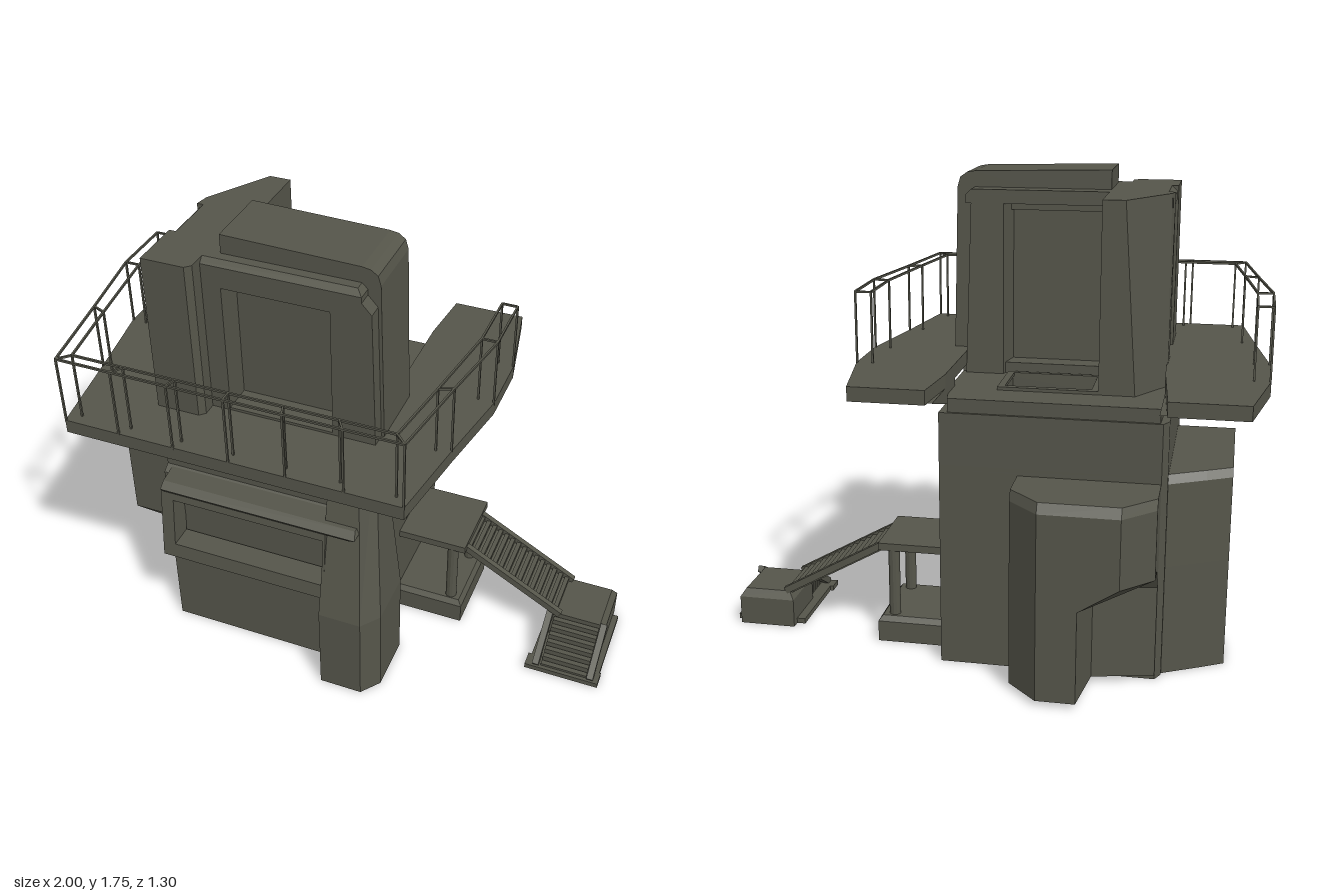
import * as THREE from 'three';

const hull = new THREE.MeshStandardMaterial({ color: 0x55554a });
hull.name = 'olive grey';
hull.flatShading = true;

const V = (x, y, z) => new THREE.Vector3(x, y, z);

export function createModel() {
  const model = new THREE.Group();

  function add(name, geometry, parent = model) {
    const mesh = new THREE.Mesh(geometry, hull);
    mesh.name = name;
    parent.add(mesh);
    return mesh;
  }
  function group(name) {
    const g = new THREE.Group();
    g.name = name;
    model.add(g);
    return g;
  }
  // Box given by its limits on each axis
  function box(name, x0, x1, y0, y1, z0, z1, parent) {
    const g = new THREE.BoxGeometry(x1 - x0, y1 - y0, z1 - z0);
    return add(name, g.translate((x0 + x1) / 2, (y0 + y1) / 2, (z0 + z1) / 2), parent);
  }
  // Square bar between two points
  function bar(name, a, b, w, h, parent) {
    const mesh = add(name, new THREE.BoxGeometry(w, h, a.distanceTo(b)), parent);
    mesh.position.copy(a).lerp(b, 0.5);
    const d = b.clone().sub(a).normalize();
    if (Math.abs(d.y) > 0.99) mesh.rotation.x = Math.PI / 2;
    else mesh.lookAt(b);
    return mesh;
  }
  // Solid through horizontal sections: each level is [y, [[x, z], ...]]
  function loft(name, levels, parent) {
    const flip = THREE.ShapeUtils.area(levels[0][1].map(([x, z]) => new THREE.Vector2(x, -z))) < 0;
    const rings = levels.map(([y, pts]) => {
      const r = pts.map(([x, z]) => V(x, y, z));
      return flip ? r.reverse() : r;
    });
    const p = [], n = rings[0].length;
    const tri = (...c) => c.forEach(v => p.push(v.x, v.y, v.z));
    for (let k = 0; k + 1 < rings.length; k++) {
      const a = rings[k], b = rings[k + 1];
      for (let i = 0; i < n; i++) {
        const j = (i + 1) % n;
        tri(a[i], a[j], b[j]);
        tri(a[i], b[j], b[i]);
      }
    }
    const low = rings[0], top = rings[rings.length - 1];
    const cap = r => THREE.ShapeUtils.triangulateShape(r.map(v => new THREE.Vector2(v.x, -v.z)), []);
    cap(low).forEach(([a, b, c]) => tri(low[a], low[c], low[b]));
    cap(top).forEach(([a, b, c]) => tri(top[a], top[b], top[c]));
    const g = new THREE.BufferGeometry();
    g.setAttribute('position', new THREE.Float32BufferAttribute(p, 3));
    g.computeVertexNormals();
    return add(name, g, parent);
  }
  // Flat outline with an optional hole, extruded along local z
  function extrude(pts, depth, hole) {
    const s = new THREE.Shape(pts.map(([x, y]) => new THREE.Vector2(x, y)));
    if (hole) s.holes.push(new THREE.Path(hole.map(([x, y]) => new THREE.Vector2(x, y))));
    return new THREE.ExtrudeGeometry(s, { depth, bevelEnabled: false });
  }
  const rect = (x0, x1, y0, y1) => [[x0, y0], [x1, y0], [x1, y1], [x0, y1]];
  const mirrorZ = pts => pts.map(([x, z]) => [x, -z]);

  // Lower body with a doorway notch in its upright side wall
  const wall = 0.13;
  const body = (y, front, notch) => {
    const opening = notch ? [[wall, -0.01], [wall - 0.05, -0.01], [wall - 0.05, -0.215], [wall, -0.215]] : [];
    return [y, [[-0.67, front], [wall, front], ...opening, [wall, -0.38], [-0.65, -0.38], [-0.67, -0.34]]];
  };
  loft('bodyBase', [body(0, 0.42), body(0.43, 0.42)]);
  loft('bodyMiddle', [body(0.43, 0.42, true), body(0.74, 0.42, true), body(0.76, 0.39, true), body(0.91, 0.39, true)]);
  loft('bodyTop', [body(0.91, 0.39), body(0.95, 0.39)]);
  const roof = extrude(mirrorZ([[-0.66, 0.38], [0.125, 0.38], [0.125, -0.23], [0.1, -0.37], [-0.64, -0.37]]), 0.05,
    mirrorZ(rect(-0.38, -0.07, -0.2, -0.02)));
  add('bodyRoof', roof.rotateX(-Math.PI / 2).translate(0, 0.95, 0));
  const rim = extrude(rect(-0.41, -0.05, 0, 0.23), 0.012, rect(-0.385, -0.075, 0.02, 0.205));
  add('hatchRim', rim.rotateX(-Math.PI / 2).translate(0, 1, 0));
  box('neck', -0.66, 0.125, 0.9, 1.04, 0.02, 0.39);

  // Side doorway frame with a slanted head
  const door = extrude(rect(0, 0.235, 0.42, 0.96), 0.012,
    [[0.015, 0.45], [0.21, 0.45], [0.2, 0.9], [0.015, 0.74]]).rotateY(Math.PI / 2);
  add('sideDoorFrame', door.translate(wall - 0.002, 0, 0));

  // Front corner buttress
  const fin = (x, z) => [[0, 0.27], [0, z], [x * 0.75, z], [x, z - 0.07], [x, 0.27]];
  loft('buttress', [[0, fin(0.218, 0.55)], [0.36, fin(0.218, 0.55)], [1.04, fin(0.14, 0.4)]]);

  // Window bay, leaning back towards its top, and awning
  const bay = extrude(rect(-0.65, 0.01, 0.42, 0.72), 0.09, rect(-0.6, 0, 0.48, 0.68)).translate(0, 0, 0.4);
  const bp = bay.attributes.position;
  for (let i = 0; i < bp.count; i++) bp.setZ(i, bp.getZ(i) + 0.11 * (0.72 - bp.getY(i)));
  bay.computeVertexNormals();
  add('windowBay', bay);
  loft('awning', [[0.71, [[-0.65, 0.38], [-0.64, 0.49], [0.1, 0.49], [0.1, 0.38]]],
    [0.735, [[-0.65, 0.38], [-0.64, 0.51], [0.13, 0.51], [0.13, 0.38]]],
    [0.755, [[-0.65, 0.38], [-0.64, 0.48], [0.12, 0.48], [0.12, 0.38]]]]);

  // Side block with an undercut front
  const side = (z, back = -0.26) => [[-0.65, z], [-0.89, z], [-0.89, back + 0.05], [-0.8, back], [-0.65, back - 0.08]];
  loft('sideBlock', [[0, side(-0.06)], [0.41, side(0.31)], [0.72, side(0.31)], [0.75, side(0.29, -0.24)]]);

  // Rear block: cut corners above, narrower leg below
  const leg = [[-0.65, -0.36], [-0.65, -0.39], [-0.43, -0.44], [-0.4, -0.65], [-0.26, -0.65], [-0.15, -0.54], [-0.15, -0.36]];
  const rear = d => [[-0.65, -0.36], [-0.65, -0.45], [-0.65, -0.54 + d], [-0.54, -0.65 + d], [-0.26, -0.65 + d], [-0.15, -0.54 + d], [-0.15, -0.36]];
  loft('rearBlock', [[0.02, leg], [0.36, leg], [0.45, rear(0)], [0.7, rear(0)], [0.735, rear(0.02)]]);

  // Upper tower: notched core, roof, window front and corner columns
  const core = [[-0.63, 0.27], [0.13, 0.27], [0.11, 0], [-0.03, 0], [-0.05, 0.1], [-0.38, 0.1], [-0.41, 0], [-0.63, 0]];
  const coreTop = core.map(([x, z]) => [x > 0 ? x - 0.02 : x, z]);
  loft('towerCore', [[1, core], [1.64, coreTop]]);
  const cover = d => [[-0.635 + d, 0.38 - d], [0.11 - d, 0.38 - d], [0.11 - d, 0], [-0.635 + d, 0]];
  loft('towerRoof', [[1.63, cover(0)], [1.66, cover(0)], [1.68, cover(0.02)]]);
  const face = extrude([[-0.63, 1], [0.16, 1], [0.145, 1.6], [0.1, 1.65], [-0.63, 1.65]], 0.11, rect(-0.39, 0, 1.09, 1.58));
  add('towerWindowFront', face.translate(0, 0, 0.27));
  const col = d => [[-0.64, 0.25], [-0.64, 0.45 - d], [-0.48, 0.45 - d], [-0.46, 0.43 - d], [-0.46, 0.25]];
  loft('frontColumn', [[0.97, col(0.03)], [1.02, col(0)], [1.68, col(0)]]);
  loft('rearColumn', [[0.98, [[-0.64, 0.05], [-0.64, -0.07], [-0.54, -0.23], [-0.41, -0.23], [-0.41, 0.05]]],
    [1.68, [[-0.64, 0.05], [-0.63, 0], [-0.49, -0.23], [-0.41, -0.23], [-0.41, 0.05]]]]);
  const crown = extrude([[-0.41, 1.6], [0.02, 1.6], [0.02, 1.0], [0.17, 1.03], [0.155, 1.68], [0.145, 1.715],
    [0.12, 1.733], [0.09, 1.738], [-0.41, 1.75]], 0.25);
  add('towerCrown', crown.translate(0, 0, 0.075));

  // U-shaped walkway
  const outer = [[-1, -0.24], [-1, 0], [-0.95, 0.31], [-0.9, 0.645], [0.36, 0.645], [0.41, 0.31], [0.463, 0], [0.463, -0.24]];
  const inner = [[-0.945, -0.24], [-0.945, 0], [-0.9, 0.33], [-0.86, 0.605], [0.32, 0.605], [0.36, 0.33], [0.405, 0], [0.405, -0.24]];
  const deck = [[-0.67, -0.56], [-0.94, -0.56], ...outer, [0.4, -0.57], [0.13, -0.57], [0.11, -0.35], [0.11, 0.1], [-0.63, 0.1], [-0.64, -0.2]];
  loft('walkway', [[1.028, deck], [1.08, deck]]);

  // Gussets under the rear wings
  for (const x of [-0.67, 0.11]) {
    const g = extrude([[0.2, 0.96], [0.34, 0.97], [0.55, 1.03], [0.2, 1.03]], 0.025).rotateY(Math.PI / 2);
    add('wingGusset', g.translate(x, 0, 0));
  }

  // Double guard rail: outer and inner runs joined by short ties
  const rail = group('guardRail');
  const run = pts => {
    const line = pts.map(([x, z]) => V(-0.27 + (x + 0.27) * 0.996, 1.338, z > 0.6 ? z - 0.003 : z));
    const stops = [];
    line.forEach((p, i) => {
      stops.push(p);
      const next = line[i + 1];
      if (!next) return;
      bar('topRail', p, next, 0.007, 0.008, rail);
      const parts = i === 3 ? 6 : 1;
      for (let k = 1; k < parts; k++) stops.push(p.clone().lerp(next, k / parts));
    });
    stops.forEach(q => bar('railPost', V(q.x, 1.07, q.z), q, 0.007, 0.007, rail));
    return stops;
  };
  const outerStops = run(outer), innerStops = run(inner);
  outerStops.forEach((p, i) => bar('railTie', p, innerStops[i], 0.007, 0.007, rail));

  // Side landing on two posts
  const landing = group('landing');
  const pad = d => rect(0.12, 0.4 - d, -0.265 + d, 0.06 - d);
  loft('landingBase', [[0, pad(0)], [0.08, pad(0)], [0.1, pad(0.015)]], landing);
  box('landingDeck', 0.12, 0.4, 0.36, 0.388, -0.245, 0.045, landing);
  for (const z of [-0.22, 0.02]) {
    const g = new THREE.CylinderGeometry(0.022, 0.022, 0.28, 12);
    add('landingPost', g.translate(0.345, 0.23, z), landing);
  }

  // Long stair down to the turning platform
  const stair = group('stairs');
  for (const z of [-0.19, 0.01]) bar('stringer', V(0.38, 0.372, z), V(0.79, 0.142, z), 0.022, 0.026, stair);
  bar('stairSlab', V(0.38, 0.355, -0.09), V(0.79, 0.125, -0.09), 0.19, 0.012, stair);
  for (let i = 0; i < 15; i++) {
    const x = 0.395 + i * 0.026, y = 0.365 - i * 0.0146;
    box('tread', x, x + 0.017, y - 0.015, y, -0.185, 0, stair);
  }
  const turn = d => rect(0.755 + d, 0.97 - d, -0.215 + d, 0.01);
  loft('turningPlatform', [[0, turn(0)], [0.11, turn(0)], [0.14, turn(0.02)]], stair);

  // Short stair to the ground
  box('stairFoot', 0.71, 0.998, 0, 0.02, 0.14, 0.2, stair);
  for (const x of [0.75, 0.965]) {
    bar('shortStringer', V(x, 0.135, 0), V(x, 0.02, 0.19), 0.025, 0.026, stair);
    bar('sideSkirt', V(x, 0.01, -0.18), V(x, 0.01, 0.19), 0.055, 0.02, stair);
  }
  for (let i = 0; i < 7; i++) {
    const z = 0.015 + i * 0.025;
    box('shortTread', 0.77, 0.95, 0, 0.125 - i * 0.016, z, z + 0.02, stair);
  }
  return model;
}
